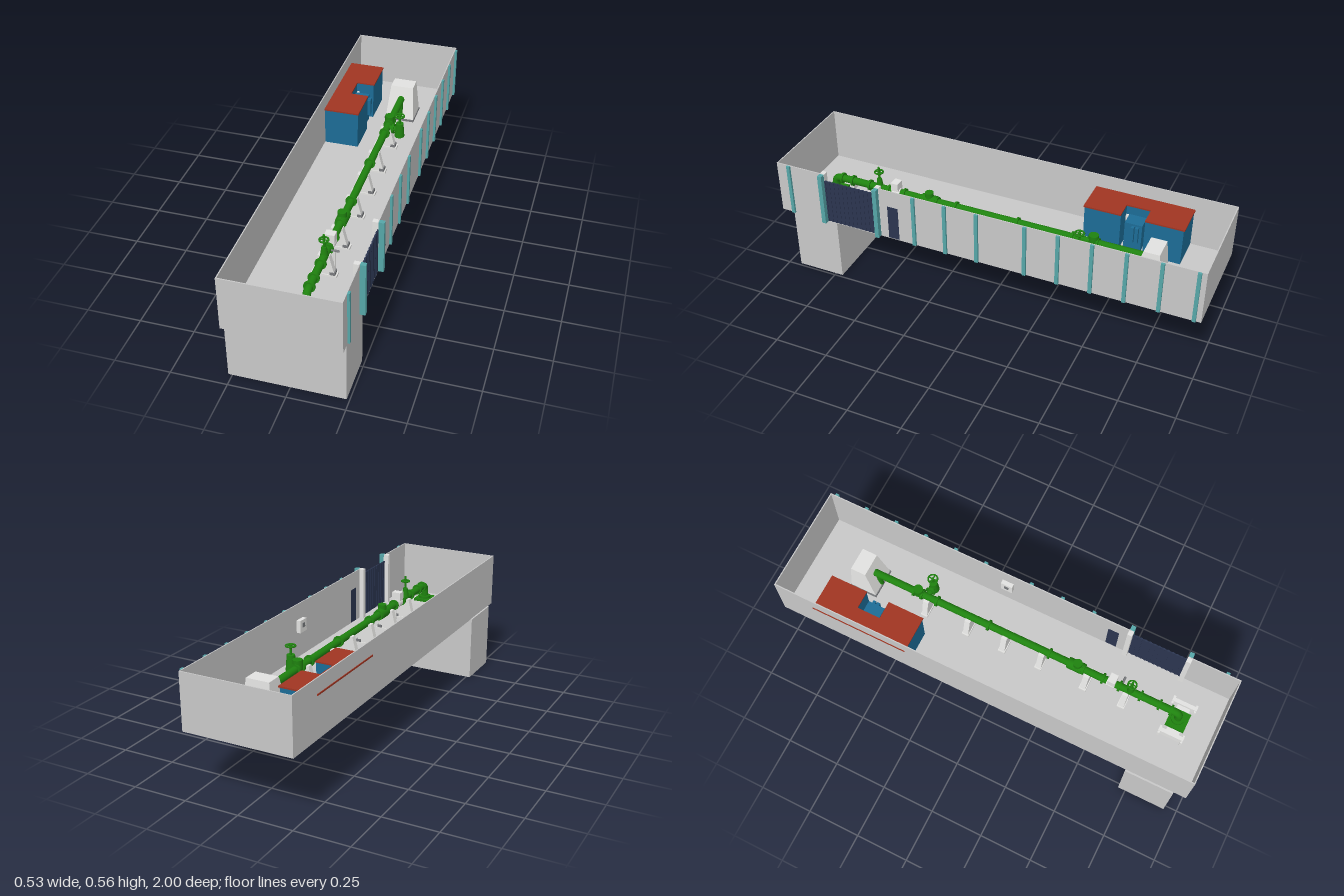
import * as THREE from 'three';

const mat = (name, color) => {
  const m = new THREE.MeshStandardMaterial({ color });
  m.name = name;
  return m;
};

export function createModel() {
  const model = new THREE.Group();
  model.name = 'pumpBuilding';
  const concrete = mat('concrete grey', 0xc8c8c8);
  const white = mat('pale steel', 0xe2e2e0);
  const green = mat('pipe green', 0x1f820f);
  const blue = mat('booth blue', 0x1c6c96);
  const red = mat('roof red', 0xa03522);
  const teal = mat('column teal', 0x56a6a8);
  const navy = mat('door navy', 0x2b3550);
  const dark = mat('dark grey', 0x77797c);

  const add = (name, geo, material, parent = model) => {
    const m = new THREE.Mesh(geo, material);
    m.name = name;
    parent.add(m);
    return m;
  };
  // Box given by its limits on each axis
  const box = (name, material, x0, x1, y0, y1, z0, z1, parent) => {
    const m = add(name, new THREE.BoxGeometry(x1 - x0, y1 - y0, z1 - z0), material, parent);
    m.position.set((x0 + x1) / 2, (y0 + y1) / 2, (z0 + z1) / 2);
    return m;
  };
  // Cylinder along one axis, centred on a point
  const rod = (name, material, axis, r, len, x, y, z, r2 = r) => {
    const g = new THREE.CylinderGeometry(r2, r, len, 20);
    if (axis === 'z') g.rotateX(Math.PI / 2);
    if (axis === 'x') g.rotateZ(-Math.PI / 2);
    const m = add(name, g, material);
    m.position.set(x, y, z);
    return m;
  };

  const F = 0.312, T = 0.563, L = -0.26, R = 0.242, W = 0.005;
  const PX = 0.04, PY = 0.415;

  // Lower pit, floor and walls
  box('lowerPit', concrete, -0.268, 0.237, 0, 0.31, 0.715, 0.943);
  box('floor', concrete, L, R, 0.308, F, -1, 1);
  box('rightWall', concrete, L, L + W, F, T, -1, 1);
  for (const s of [-1, 1]) {
    box(s > 0 ? 'frontWall' : 'backWall', concrete, L + W, R - W, F, T, s > 0 ? 1 - W : -1, s > 0 ? 1 : -1 + W);
  }
  for (const [z0, z1, y0] of [[-1, 0.388, F], [0.388, 0.44, 0.48], [0.44, 0.5, F], [0.765, 1, F]]) {
    box('leftWall', concrete, R - W, R, y0, T, z0, z1);
  }

  // Doors
  box('smallDoor', navy, R - 0.004, R + 0.001, F, 0.48, 0.388, 0.44);
  box('largeDoor', navy, R - 0.004, R, F, 0.53, 0.5, 0.765);
  for (let i = 0; i < 12; i++) {
    const z = 0.515 + i * 0.0212;
    box('doorRib', navy, R - 0.006, R + 0.002, F, 0.53, z, z + 0.009);
  }

  // Outer columns, with deeper ones beside the large door
  for (const z of [-0.97, -0.818, -0.667, -0.517, -0.367, -0.217, 0.007, 0.158, 0.309, 0.937]) {
    box('column', teal, R, 0.252, 0.31, T, z - 0.008, z + 0.008);
  }
  for (const z of [0.49, 0.765]) {
    box('doorColumn', teal, R, 0.266, 0.31, T, z - 0.01, z + 0.01);
    box('doorColumnInside', white, 0.216, R, F, T, z - 0.011, z + 0.011);
  }

  // Control booth with a notched plan
  const plan = (x0, x1, z0, z1, n) => {
    const p = [[x0, z0], [x1, z0], [x1, -0.64], [n, -0.64], [n, -0.53], [x1, -0.53], [x1, z1], [x0, z1]];
    return new THREE.Shape(p.map(([x, z]) => new THREE.Vector2(x, -z)));
  };
  const slab = (name, shape, material, y, h) => {
    const g = new THREE.ExtrudeGeometry(shape, { depth: h, bevelEnabled: false });
    g.rotateX(-Math.PI / 2);
    add(name, g, material).position.y = y;
  };
  slab('boothWalls', plan(-0.254, -0.092, -0.812, -0.362, -0.175), blue, F, 0.18);
  slab('boothRoof', plan(-0.263, -0.088, -0.817, -0.358, -0.173), red, 0.491, 0.007);
  box('boothPorch', blue, -0.175, -0.108, F, 0.45, -0.625, -0.545);
  for (const z of [-0.632, -0.538]) box('porchPost', white, -0.172, -0.16, F, 0.45, z - 0.006, z + 0.006);
  for (const z of [-0.605, -0.585]) box('porchFitting', blue, -0.108, -0.092, 0.36, 0.44, z - 0.007, z + 0.007);

  // Pipe supports with footings below the floor
  const cradle = new THREE.Shape();
  cradle.moveTo(-0.05, 0);
  cradle.lineTo(0.05, 0);
  cradle.lineTo(0.025, PY - F);
  cradle.lineTo(-0.025, PY - F);
  for (const z of [-0.405, -0.195, -0.012, 0.17, 0.39, 0.577]) {
    const g = new THREE.ExtrudeGeometry(cradle, { depth: 0.026, bevelEnabled: false });
    add('pipeSupport', g, white).position.set(PX - 0.005, F, z - 0.013);
    box('supportFoot', white, -0.018, 0.092, 0.296, 0.322, z - 0.017, z + 0.017);
    box('supportStep', dark, 0.062, 0.085, 0.322, 0.335, z - 0.016, z + 0.016);
  }

  // Main pipe with elbows at both ends
  const path = new THREE.CurvePath();
  const v = (y, z) => new THREE.Vector3(PX, y, z);
  path.add(new THREE.LineCurve3(v(0.345, 0.825), v(0.385, 0.825)));
  path.add(new THREE.QuadraticBezierCurve3(v(0.385, 0.825), v(PY, 0.825), v(PY, 0.795)));
  path.add(new THREE.LineCurve3(v(PY, 0.795), v(PY, -0.68)));
  add('mainPipe', new THREE.TubeGeometry(path, 160, 0.017, 18, false), green);
  for (const z of [0.785, 0.73, 0.64, 0.54, 0.46, 0.365, 0.295, 0.2, -0.1, -0.36, -0.435, -0.475]) {
    rod('pipeFlange', green, 'z', 0.025, 0.01, PX, PY, z);
  }
  rod('checkValve', green, 'z', 0.026, 0.06, PX, PY, 0.33);
  rod('checkValveCap', green, 'y', 0.02, 0.03, PX, PY + 0.028, 0.335);
  rod('airValve', green, 'y', 0.022, 0.04, PX, PY + 0.02, -0.455);
  rod('drainPipe', green, 'y', 0.014, 0.12, PX, 0.355, -0.66);
  rod('drainTip', green, 'y', 0.004, 0.02, PX, 0.3, -0.66, 0.02);

  // Side branch with an upright valve
  rod('branchPipe', green, 'x', 0.014, 0.07, 0.075, PY, -0.41);
  rod('branchFlange', green, 'x', 0.023, 0.01, 0.07, PY, -0.41);
  rod('branchValve', green, 'y', 0.024, 0.07, 0.1, PY, -0.41, 0.018);
  rod('branchStem', green, 'y', 0.006, 0.05, 0.1, 0.47, -0.41);
  // Handwheels
  const wheel = (x, y, z, r) => {
    const g = new THREE.TorusGeometry(r, 0.004, 8, 20);
    g.rotateX(Math.PI / 2);
    add('handwheel', g, green).position.set(x, y, z);
    rod('wheelSpoke', green, 'x', 0.003, 2 * r, x, y, z);
    rod('wheelSpoke', green, 'z', 0.003, 2 * r, x, y, z);
  };
  wheel(0.1, 0.49, -0.41, 0.021);
  rod('gateBonnet', green, 'y', 0.018, 0.05, PX, 0.44, 0.59, 0.011);
  rod('gateStem', green, 'y', 0.005, 0.08, PX, 0.485, 0.59);
  wheel(PX, 0.5, 0.59, 0.019);

  // Pale meter and its drain rod
  rod('meterBody', white, 'z', 0.022, 0.04, PX, PY, 0.5);
  box('meterHead', white, PX - 0.022, PX + 0.022, 0.43, 0.47, 0.485, 0.52);
  rod('meterArm', dark, 'x', 0.005, 0.05, 0.065, PY, 0.545);
  rod('drainRod', white, 'y', 0.003, 0.16, 0.07, 0.335, 0.545, 0.005);

  // Pump base plate between two steel rails
  box('pumpPlate', green, -0.008, 0.082, 0.335, 0.347, 0.785, 0.873);
  rod('pumpFlange', green, 'y', 0.03, 0.012, PX, 0.353, 0.825);
  for (const x of [-0.037, 0.115]) {
    box('railWeb', white, x - 0.009, x + 0.009, F, 0.35, 0.77, 0.887);
    for (const z of [0.775, 0.882]) box('railEnd', white, x - 0.019, x + 0.019, F, 0.345, z - 0.005, z + 0.005);
  }
  box('plateSupport', white, -0.03, 0.108, F, 0.335, 0.8, 0.86);

  // Tapered anchor block at the back end
  const taper = new THREE.BoxGeometry(0.14, 0.165, 0.13);
  const p = taper.attributes.position;
  for (let i = 0; i < p.count; i++) {
    if (p.getY(i) > 0) {
      p.setX(i, p.getX(i) * 0.78);
      p.setZ(i, p.getZ(i) > 0 ? 0.02 : -0.052);
    }
  }
  taper.computeVertexNormals();
  add('anchorBlock', taper, white).position.set(PX, F + 0.0825, -0.713);
  box('anchorBase', dark, -0.034, 0.112, F, 0.322, -0.78, -0.646);

  // Wall cabinet
  box('wallCabinet', white, 0.217, R - W, 0.432, 0.49, -0.13, -0.075);
  box('cabinetPanel', dark, 0.214, 0.217, 0.455, 0.475, -0.112, -0.093);

  return model;
}
